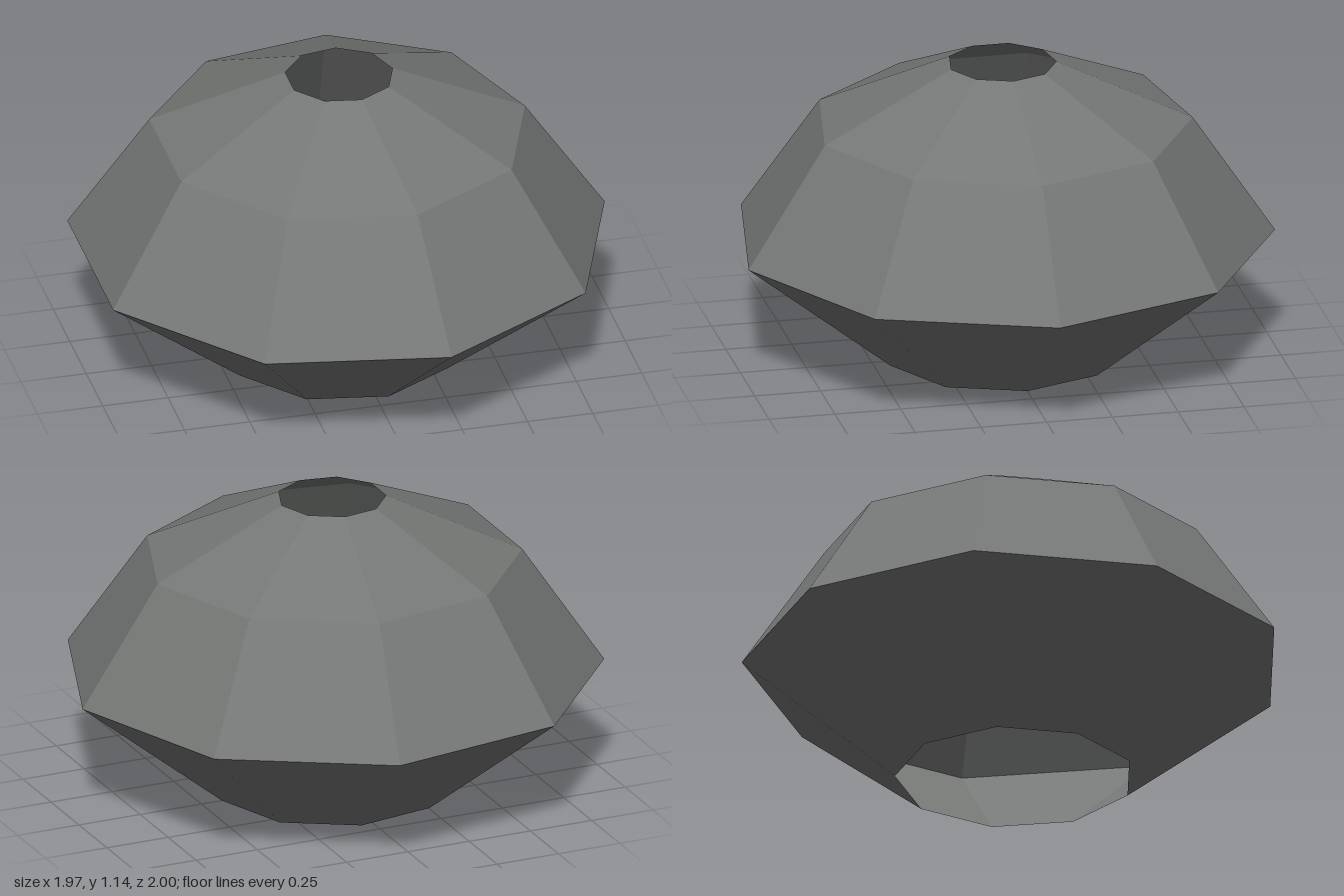
import * as THREE from 'three';

export function createModel() {
  const group = new THREE.Group();
  group.name = 'stone';

  const stoneGrey = new THREE.MeshStandardMaterial({ color: 0x757876, flatShading: true, side: THREE.DoubleSide });
  stoneGrey.name = 'stone grey';

  // Open nine-sided shell: bottom rim, girdle, shoulder, top rim
  const profile = [[0.447, 0], [1.0154, 0.46], [0.71, 0.91], [0.203, 1.14]]
    .map(([r, y]) => new THREE.Vector2(r, y));
  const geometry = new THREE.LatheGeometry(profile, 9, Math.PI / 2, Math.PI * 2);

  const shell = new THREE.Mesh(geometry, stoneGrey);
  shell.name = 'facetedShell';
  shell.position.x = -0.0306; // one corner points to +x, so centre the bounds
  group.add(shell);
  return group;
}
